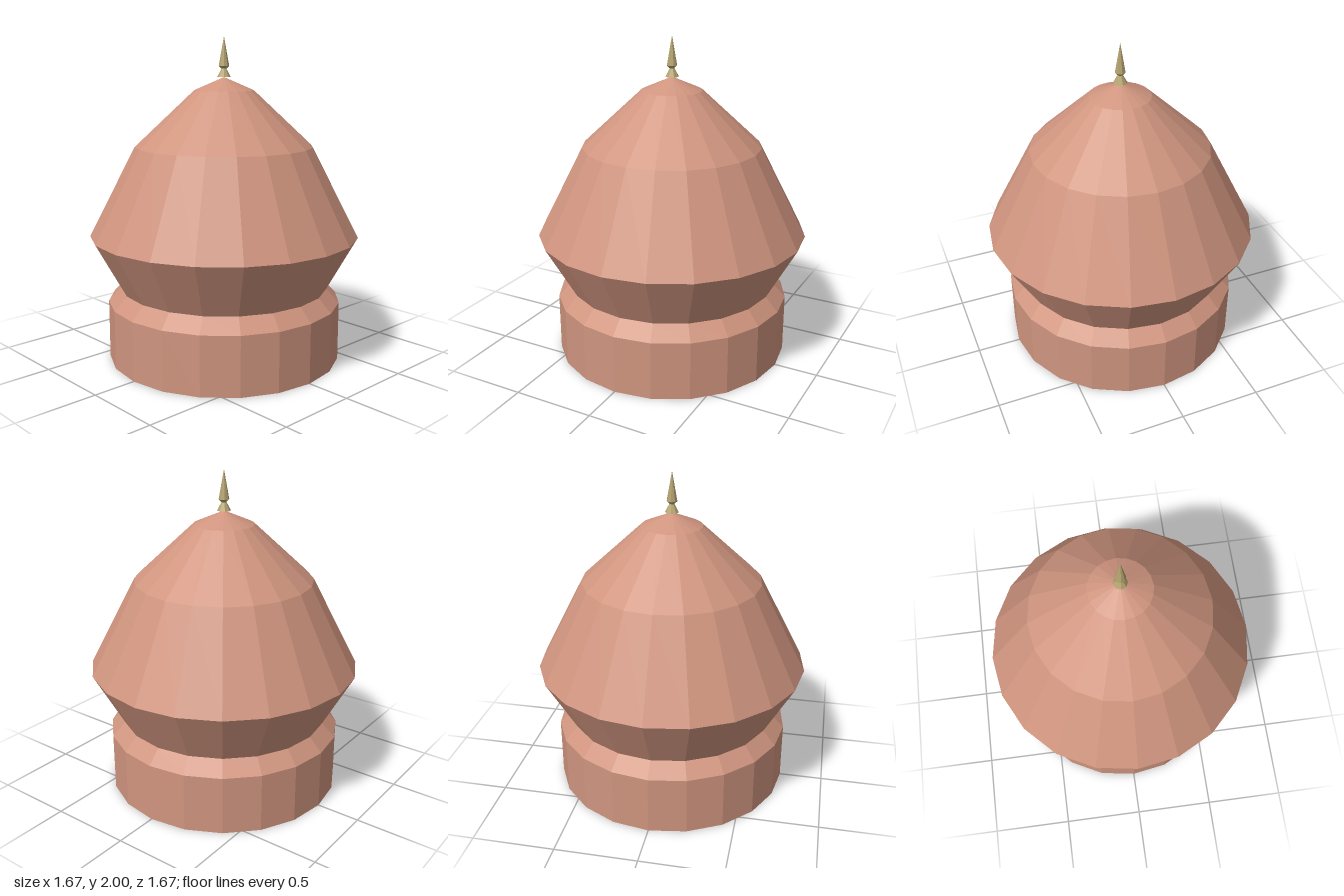
import * as THREE from 'three';

// Faceted solid of revolution from [radius, height] pairs, bottom to top
function turned(name, profile, sides, color) {
  const points = profile.map(([r, y]) => new THREE.Vector2(r, y));
  const material = new THREE.MeshStandardMaterial({ color, flatShading: true });
  const mesh = new THREE.Mesh(new THREE.LatheGeometry(points, sides), material);
  mesh.name = name;
  return mesh;
}

export function createModel() {
  const group = new THREE.Group();
  group.name = 'domeRoof';
  const clay = 0xd0957f, brass = 0xb5a470;

  // Drum with a sloped shoulder
  group.add(turned('drum', [[0, 0], [0.73, 0], [0.73, 0.365], [0.65, 0.45]], 20, clay));

  // Bulging dome rising from the narrow neck
  group.add(turned('dome', [
    [0.65, 0.45], [0.835, 0.785], [0.55, 1.335], [0.185, 1.675], [0, 1.755],
  ], 20, clay));

  // Spike with a flared foot
  group.add(turned('finial', [
    [0, 1.755], [0.042, 1.755], [0.015, 1.805], [0.032, 1.822], [0, 2],
  ], 8, brass));

  return group;
}
